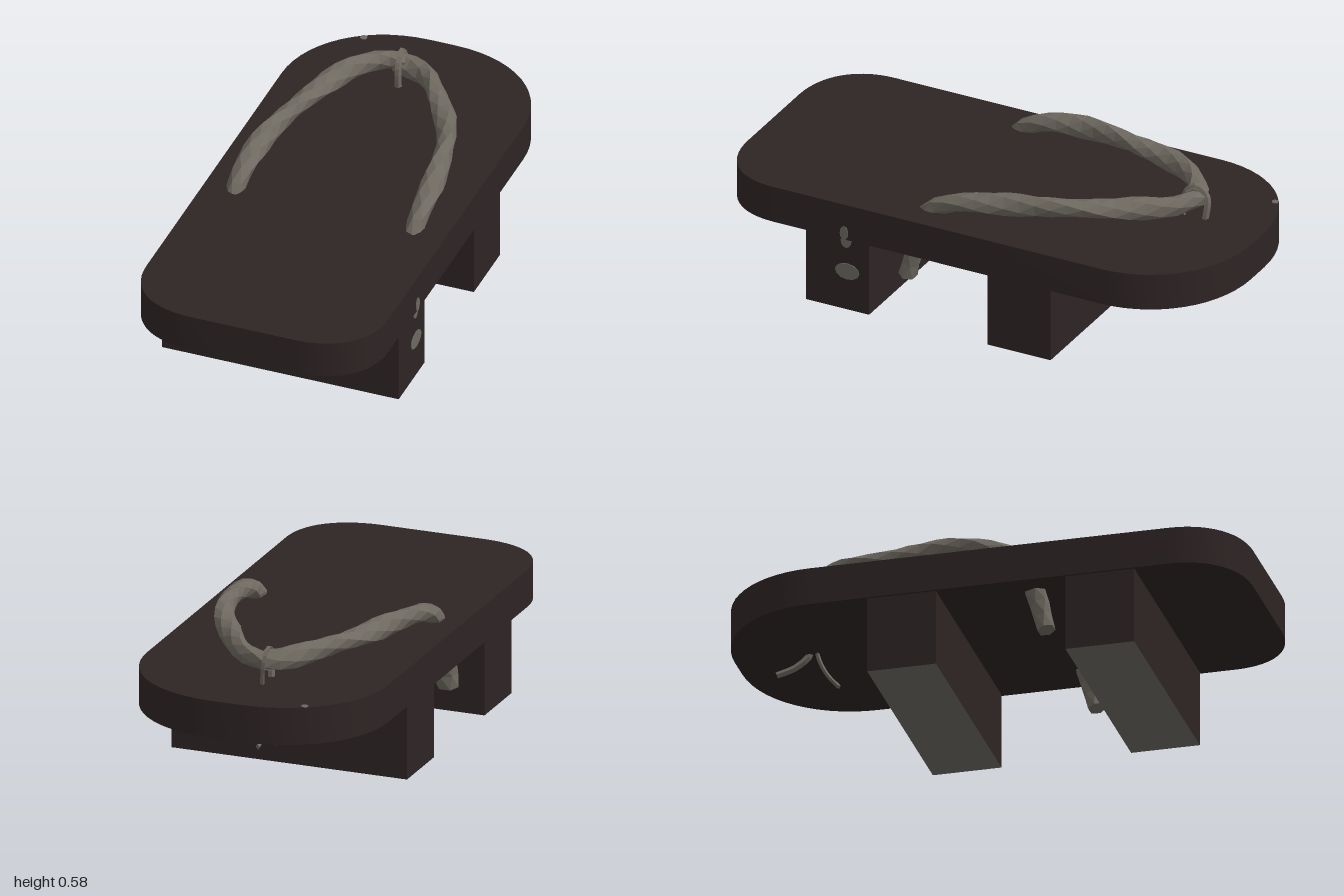
import * as THREE from 'three';
import { toCreasedNormals } from 'three/addons/utils/BufferGeometryUtils.js';

const TOP = 0.437, UNDER = 0.293;

// Twisted tube with an oval section, capped at both ends
function twistedRope(points, { width, height, twist, rings, sides }) {
  const curve = new THREE.CatmullRomCurve3(points.map(p => new THREE.Vector3(...p)));
  const frames = curve.computeFrenetFrames(rings, false);
  const pos = [], index = [];
  for (let i = 0; i <= rings; i++) {
    const c = curve.getPointAt(i / rings);
    const turn = (i / rings) * twist;
    for (let j = 0; j < sides; j++) {
      const a = (j / sides) * Math.PI * 2;
      const u = Math.cos(a) * width, v = Math.sin(a) * height;
      const p = c.clone()
        .addScaledVector(frames.normals[i], u * Math.cos(turn) - v * Math.sin(turn))
        .addScaledVector(frames.binormals[i], u * Math.sin(turn) + v * Math.cos(turn));
      pos.push(p.x, p.y, p.z);
    }
  }
  for (let i = 0; i < rings; i++) {
    for (let j = 0; j < sides; j++) {
      const a = i * sides + j, b = i * sides + (j + 1) % sides;
      index.push(a, b, a + sides, b, b + sides, a + sides);
    }
  }
  const last = rings * sides;
  for (let j = 1; j < sides - 1; j++) {
    index.push(0, j + 1, j, last, last + j, last + j + 1);
  }
  const g = new THREE.BufferGeometry();
  g.setAttribute('position', new THREE.Float32BufferAttribute(pos, 3));
  g.setIndex(index);
  g.computeVertexNormals();
  return g;
}

export function createModel() {
  const model = new THREE.Group();
  model.name = 'woodenSandal';

  const wood = new THREE.MeshStandardMaterial({ color: 0x2e2424 });
  wood.name = 'dark wood';
  const cloth = new THREE.MeshStandardMaterial({ color: 0x6e6960, flatShading: true, side: THREE.DoubleSide });
  cloth.name = 'grey cloth';
  const worn = new THREE.MeshStandardMaterial({ color: 0x6c6861 });
  worn.name = 'worn grey';

  const add = (name, geometry, material, x = 0, y = 0, z = 0) => {
    const m = new THREE.Mesh(geometry, material);
    m.name = name;
    m.position.set(x, y, z);
    model.add(m);
    return m;
  };

  // Deck: rounder at the toe (-z), squarer at the heel (+z)
  const s = new THREE.Shape();
  s.moveTo(0.475, -0.6);
  s.lineTo(0.475, 0.75);
  s.bezierCurveTo(0.475, 0.9, 0.37, 1, 0.2, 1);
  s.lineTo(-0.2, 1);
  s.bezierCurveTo(-0.37, 1, -0.475, 0.9, -0.475, 0.75);
  s.lineTo(-0.475, -0.6);
  s.bezierCurveTo(-0.475, -0.82, -0.3, -1, -0.05, -1);
  s.lineTo(0.05, -1);
  s.bezierCurveTo(0.3, -1, 0.475, -0.82, 0.475, -0.6);
  const deck = new THREE.ExtrudeGeometry(s, { depth: TOP - UNDER, bevelEnabled: false, curveSegments: 14 });
  deck.rotateX(Math.PI / 2);
  add('deck', toCreasedNormals(deck, 0.6), wood, 0, TOP, 0);

  // Two support blocks, each with a worn underside (box face group 3)
  const blockMaterials = [wood, wood, wood, worn, wood, wood];
  for (const [name, z] of [['heelBlock', 0.49], ['toeBlock', -0.26]]) {
    add(name, new THREE.BoxGeometry(0.93, UNDER, 0.26), blockMaterials, 0, UNDER / 2, z);
  }

  // Strap arms, from the hanging ends through the deck to the toe
  const rope = { width: 0.044, height: 0.034, twist: 9, rings: 24, sides: 6 };
  add('rightStrap', twistedRope([
    [-0.36, 0.135, 0.26], [-0.36, 0.29, 0.22], [-0.36, 0.42, 0.165], [-0.355, 0.485, 0.06],
    [-0.335, 0.515, -0.12], [-0.27, 0.53, -0.4], [-0.19, 0.535, -0.6], [-0.11, 0.525, -0.7], [-0.04, 0.52, -0.725],
  ], rope), cloth);
  add('leftStrap', twistedRope([
    [0.34, 0.135, 0.265], [0.34, 0.29, 0.225], [0.345, 0.42, 0.17], [0.345, 0.485, 0.06],
    [0.335, 0.515, -0.1], [0.28, 0.53, -0.33], [0.17, 0.525, -0.53], [0.06, 0.515, -0.675], [-0.06, 0.51, -0.725],
  ], rope), cloth);

  // Toe cord looped over the strap, its two tails hanging below the deck
  const cord = { width: 0.013, height: 0.008, twist: 1.5, rings: 22, sides: 4 };
  add('toeCord', twistedRope([
    [-0.04, 0.155, -0.61], [-0.045, 0.21, -0.655], [-0.05, 0.3, -0.69], [-0.045, 0.437, -0.672],
    [-0.045, 0.53, -0.675], [-0.05, 0.563, -0.72], [-0.052, 0.53, -0.762], [-0.045, 0.437, -0.76],
    [-0.05, 0.3, -0.715], [-0.055, 0.245, -0.77], [-0.06, 0.22, -0.84],
  ], { ...cord, rings: 40 }), cloth);

  // Worn patches on the left side and a chip at the toe
  const patch = (name, rx, ry, x, y, z) => {
    const g = new THREE.CylinderGeometry(1, 1, 0.004, 12);
    g.rotateZ(Math.PI / 2);
    g.scale(1, ry, rx);
    add(name, g, worn, x, y, z);
  };
  patch('blockPatch', 0.05, 0.033, 0.466, 0.158, 0.45);
  patch('upperBlockPatch', 0.022, 0.03, 0.466, 0.285, 0.455);
  patch('deckPatch', 0.017, 0.028, 0.476, 0.32, 0.458);
  add('toeChip', new THREE.CylinderGeometry(0.014, 0.014, 0.004, 7), worn, -0.28, TOP, -0.925);

  return model;
}
